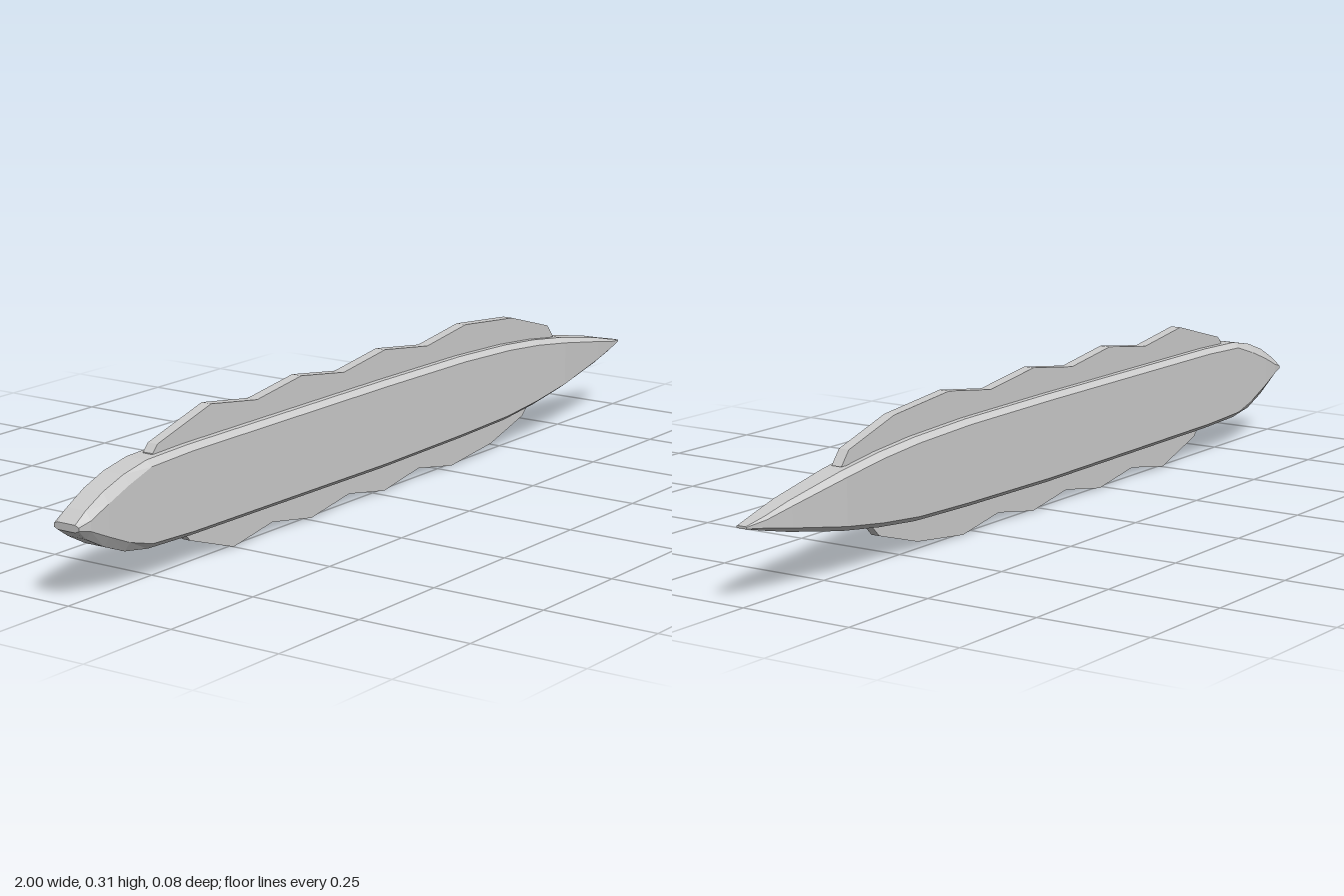
import * as THREE from 'three';

const material = new THREE.MeshStandardMaterial({ color: 0xcccccc, flatShading: true });

// Body stations: x, bottom y, top y, half width, half width of the flat rim, bevel height
const STATIONS = [
  [-1.0, 0.148, 0.163, 0.031, 0.022, 0.004],
  [-0.97, 0.128, 0.185, 0.036, 0.023, 0.018],
  [-0.92, 0.102, 0.211, 0.038, 0.024, 0.022],
  [-0.86, 0.079, 0.232, 0.038, 0.025, 0.02],
  [-0.79, 0.068, 0.246, 0.038, 0.025, 0.012],
  [-0.66, 0.064, 0.25, 0.038, 0.025, 0.011],
  [0.0, 0.06, 0.251, 0.038, 0.025, 0.011],
  [0.3, 0.064, 0.249, 0.038, 0.025, 0.011],
  [0.48, 0.069, 0.242, 0.038, 0.025, 0.011],
  [0.6, 0.08, 0.232, 0.038, 0.024, 0.011],
  [0.72, 0.096, 0.216, 0.037, 0.022, 0.011],
  [0.88, 0.126, 0.187, 0.028, 0.018, 0.009],
  [0.95, 0.142, 0.17, 0.021, 0.015, 0.006],
  [1.0, 0.154, 0.159, 0.012, 0.01, 0.001],
];

// Loft of bevelled eight-sided cross-sections along x
function bodyGeometry() {
  const positions = [];
  const index = [];
  const n = 8;
  for (const [x, yb, yt, w, c, d] of STATIONS) {
    const ring = [[yt, -c], [yt, c], [yt - d, w], [yb + d, w],
      [yb, c], [yb, -c], [yb + d, -w], [yt - d, -w]];
    for (const [y, z] of ring) positions.push(x, y, z);
  }
  const last = (STATIONS.length - 1) * n;
  for (let i = 0; i < last; i += n) {
    for (let j = 0; j < n; j++) {
      const k = (j + 1) % n;
      index.push(i + j, i + k, i + n + k, i + j, i + n + k, i + n + j);
    }
  }
  // End caps
  for (let j = 1; j < n - 1; j++) {
    index.push(0, j + 1, j, last, last + j, last + j + 1);
  }
  const geometry = new THREE.BufferGeometry();
  geometry.setAttribute('position', new THREE.Float32BufferAttribute(positions, 3));
  geometry.setIndex(index);
  geometry.computeVertexNormals();
  return geometry;
}

// Flat plate with a scalloped edge, centred on z = 0
function makeFin(name, outline, thickness) {
  const shape = new THREE.Shape(outline.map(([x, y]) => new THREE.Vector2(x, y)));
  const geometry = new THREE.ExtrudeGeometry(shape, { depth: thickness, bevelEnabled: false });
  geometry.translate(0, 0, -thickness / 2);
  const fin = new THREE.Mesh(geometry, material);
  fin.name = name;
  return fin;
}

export function createModel() {
  const model = new THREE.Group();
  model.name = 'finnedBody';

  const body = new THREE.Mesh(bodyGeometry(), material);
  body.name = 'body';
  model.add(body);

  // Upper fin, its root sunk into the body
  model.add(makeFin('upperFin', [
    [-0.76, 0.22], [-0.755, 0.249], [-0.74, 0.265], [-0.57, 0.312], [-0.42, 0.291],
    [-0.27, 0.312], [-0.12, 0.291], [0.03, 0.312], [0.19, 0.291], [0.34, 0.312],
    [0.53, 0.294], [0.68, 0.25], [0.705, 0.22],
  ], 0.024));

  // Lower fin
  model.add(makeFin('lowerFin', [
    [-0.665, 0.08], [-0.655, 0.062], [-0.64, 0.046], [-0.5, 0], [-0.37, 0.022],
    [-0.235, 0], [-0.1, 0.022], [0.03, 0], [0.16, 0.022], [0.29, 0],
    [0.45, 0.018], [0.58, 0.056], [0.605, 0.08],
  ], 0.02));

  return model;
}
